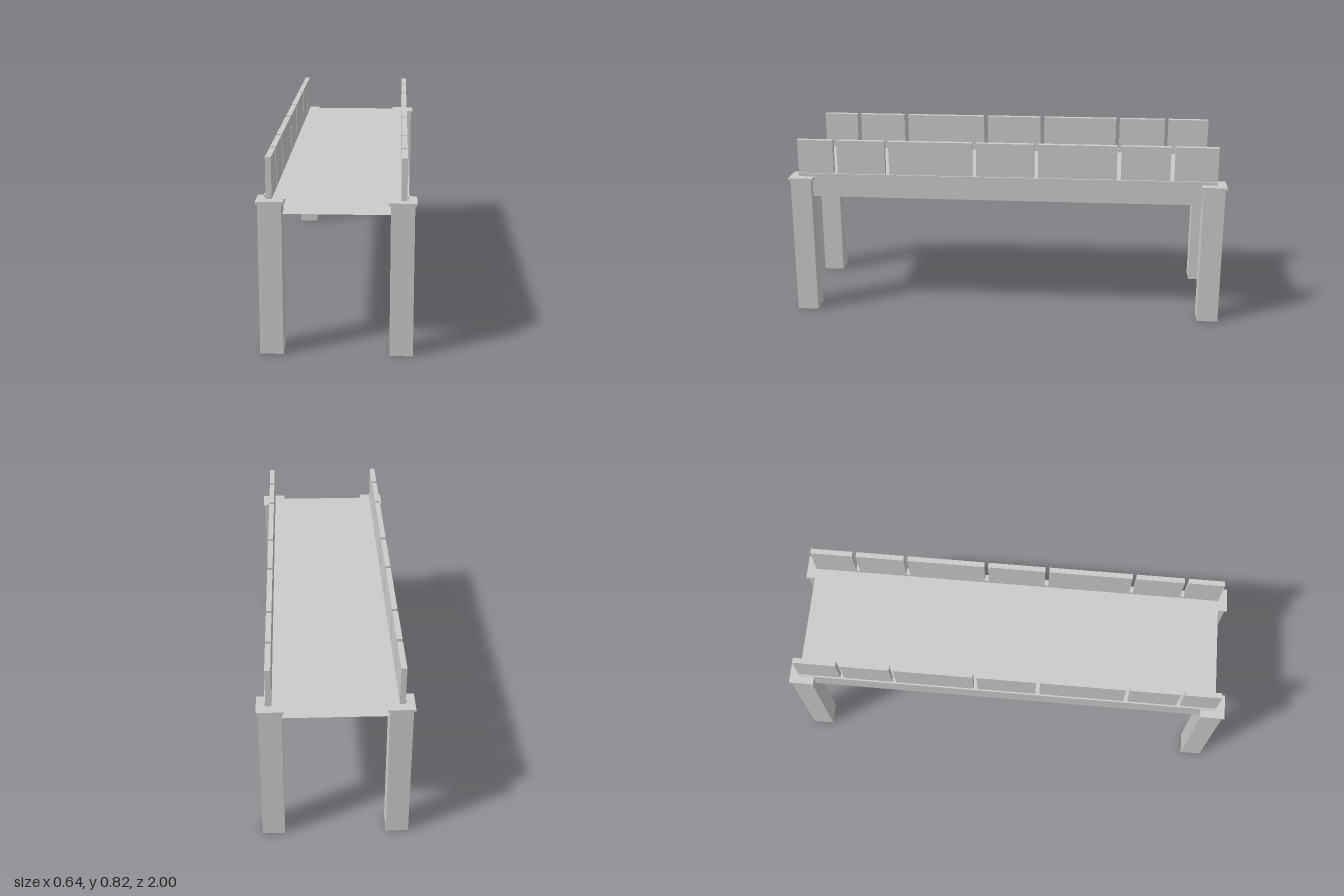
import * as THREE from 'three';

const grey = new THREE.MeshStandardMaterial({ color: 0xcccccc, flatShading: true, side: THREE.DoubleSide });

function add(parent, name, geometry) {
  const mesh = new THREE.Mesh(geometry, grey);
  mesh.name = name;
  parent.add(mesh);
  return mesh;
}

// Box given by its lower and upper limits on each axis
function box(parent, name, x0, x1, y0, y1, z0, z1) {
  const mesh = add(parent, name, new THREE.BoxGeometry(x1 - x0, y1 - y0, z1 - z0));
  mesh.position.set((x0 + x1) / 2, (y0 + y1) / 2, (z0 + z1) / 2);
  return mesh;
}

const END = 0.958;                                        // half length of the span
const GAPS = [-0.755, -0.515, -0.14, 0.143, 0.545, 0.785]; // slots between parapet panels
const GAP = 0.018;

// Girder, ledge and parapet of one side, built for +x
function createSide(sign) {
  const side = new THREE.Group();
  side.name = sign > 0 ? 'leftSide' : 'rightSide';
  const s = (name, x0, x1, y0, y1, z0 = -END, z1 = END) =>
    sign > 0 ? box(side, name, x0, x1, y0, y1, z0, z1) : box(side, name, -x1, -x0, y0, y1, z0, z1);

  s('girder', 0.258, 0.282, 0.555, 0.666);
  s('ledge', 0.225, 0.258, 0.575, 0.65);
  s('trimStrip', 0.282, 0.289, 0.659, 0.667);

  // Parapet panels between the slots
  const stops = [-END - GAP / 2, ...GAPS, END + GAP / 2];
  for (let i = 0; i < stops.length - 1; i++) {
    s('parapetPanel', 0.258, 0.282, 0.666, 0.823, stops[i] + GAP / 2, stops[i + 1] - GAP / 2);
  }
  return side;
}

// Hollow square pier, open below, with a flat cap
function createPier(sx, sz) {
  const pier = new THREE.Group();
  pier.name = 'pier';
  const r = 0.048 * Math.SQRT2;
  const shaft = new THREE.CylinderGeometry(r, r, 0.64, 4, 1, true, Math.PI / 4);
  add(pier, 'shaft', shaft).position.y = 0.32;
  box(pier, 'cap', -0.056, 0.056, 0.639, 0.65, -0.056, 0.056);
  pier.position.set(sx * 0.265, 0, sz * 0.944);
  return pier;
}

export function createModel() {
  const bridge = new THREE.Group();
  bridge.name = 'bridge';

  // Deck: two thin sheets, open at the ends
  for (const [name, y] of [['deckTop', 0.651], ['deckUnderside', 0.59]]) {
    const sheet = new THREE.PlaneGeometry(0.45, 2 * END).rotateX(-Math.PI / 2);
    add(bridge, name, sheet).position.y = y;
  }

  for (const sx of [-1, 1]) {
    bridge.add(createSide(sx));
    for (const sz of [-1, 1]) bridge.add(createPier(sx, sz));
  }
  return bridge;
}
